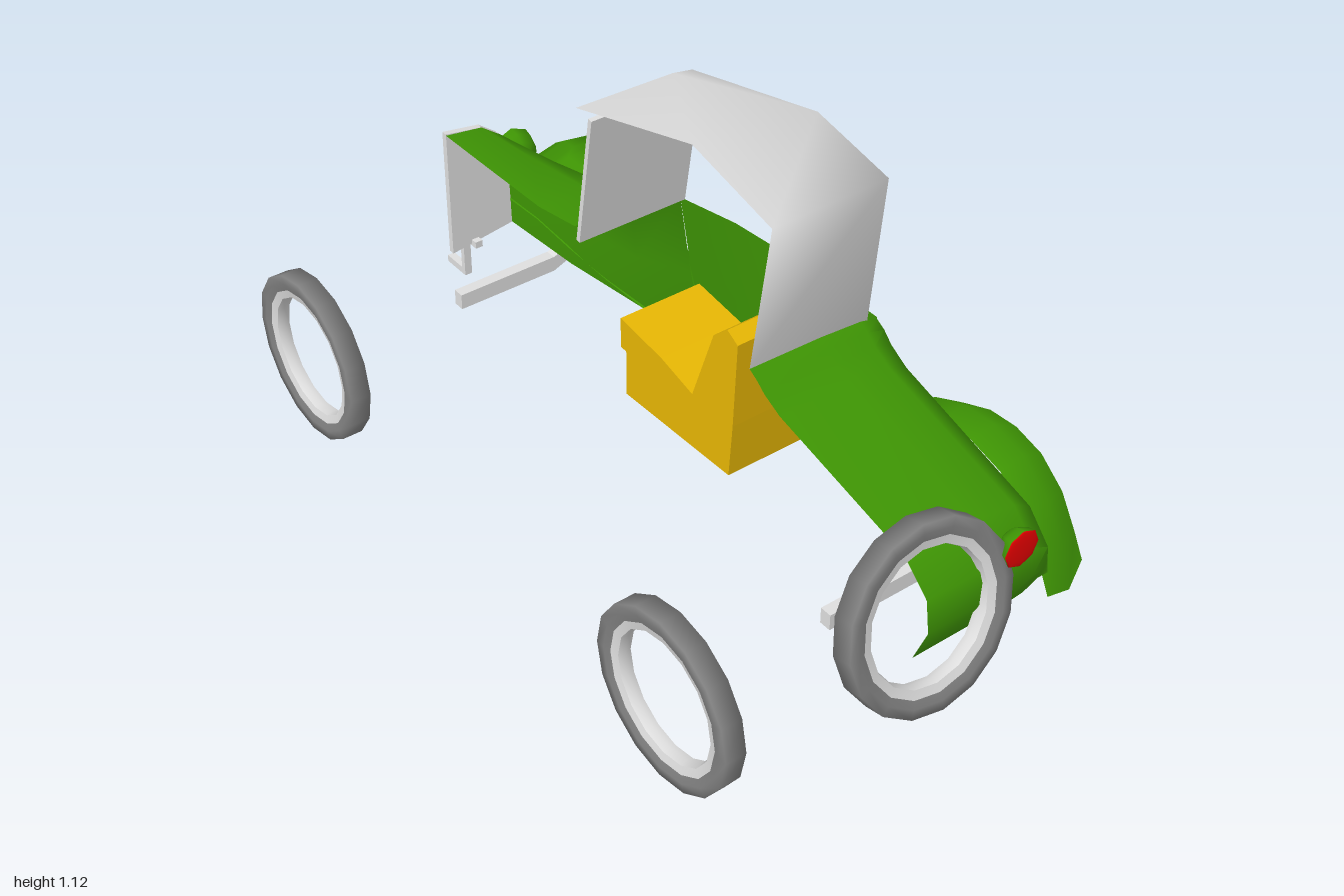
import * as THREE from 'three';
import { toCreasedNormals } from 'three/addons/utils/BufferGeometryUtils.js';

const mat = (name, color, side = THREE.FrontSide) => {
  const m = new THREE.MeshStandardMaterial({ color, side });
  m.name = name;
  return m;
};

// Skin through rows of equally many [x, y, z] points
function loft(rows, crease = 1.3) {
  const n = rows[0].length, index = [];
  for (let i = 0; i < rows.length - 1; i++) {
    for (let j = 0; j < n - 1; j++) {
      const a = i * n + j, b = a + 1, c = a + n, d = c + 1;
      index.push(a, c, b, b, c, d);
    }
  }
  const g = new THREE.BufferGeometry();
  g.setAttribute('position', new THREE.Float32BufferAttribute(rows.flat(2), 3));
  g.setIndex(index);
  return toCreasedNormals(g, crease);
}

const polygon = pts => new THREE.Shape(pts.map(p => new THREE.Vector2(...p)));

export function createModel() {
  const green = mat('green paint', 0x3f9604, THREE.DoubleSide);
  const grey = mat('light grey', 0xdedede, THREE.DoubleSide);
  const tyreGrey = mat('tyre grey', 0x808080);
  const yellow = mat('yellow upholstery', 0xe6b604);
  const red = mat('red lens', 0xf00000);
  const car = new THREE.Group();
  const add = (name, geo, material, parent = car) => {
    const m = new THREE.Mesh(geo, material);
    m.name = name;
    parent.add(m);
    return m;
  };
  const box = (name, w, h, d, x, y, z, material) => {
    const m = add(name, new THREE.BoxGeometry(w, h, d), material);
    m.position.set(x, y, z);
    return m;
  };
  const Z0 = 0.03; // centre plane, where the half body is open

  // Body section: [x, top y, shoulder drop, side z, bottom z, bottom y]
  const shell = ([x, y, d, zs, zb, yb]) => [
    [x, y, Z0], [x, y - d * 0.12, zs * 0.5], [x, y - d * 0.45, zs * 0.85], [x, y - d, zs],
    [x, (y - d + yb) / 2, zs * 0.6 + zb * 0.4], [x, yb, zb]];
  add('bonnet', loft([
    [-0.8, 0.675, 0.11, -0.138, -0.145, 0.36],
    [-0.6, 0.677, 0.1, -0.175, -0.19, 0.32],
    [-0.4, 0.68, 0.08, -0.222, -0.275, 0.255],
    [-0.26, 0.703, 0.04, -0.265, -0.345, 0.22],
  ].map(shell)), green);

  // Cockpit side
  add('cockpitSide', loft([
    [-0.26, -0.265, -0.297, -0.345], [-0.1, -0.3, -0.32, -0.348],
    [0.12, -0.318, -0.328, -0.348], [0.36, -0.318, -0.328, -0.345],
  ].map(([x, a, b, c]) => [[x, 0.664, a], [x, 0.46, b], [x, 0.22, c]])), green);

  // Rear deck, curving down into the tail panel
  add('rearDeck', loft([
    ...[
      [0.36, 0.685, 0.025, -0.318, -0.345, 0.22],
      [0.385, 0.67, 0.025, -0.318, -0.343, 0.22],
      [0.41, 0.65, 0.03, -0.318, -0.335, 0.345],
      [0.46, 0.625, 0.035, -0.318, -0.33, 0.345],
      [0.85, 0.525, 0.05, -0.315, -0.325, 0.345],
      [0.92, 0.46, 0.04, -0.305, -0.315, 0.345],
    ].map(shell),
    [[0.932, 0.38, Z0], [0.932, 0.38, -0.15], [0.93, 0.375, -0.26],
      [0.925, 0.37, -0.295], [0.92, 0.355, -0.308], [0.92, 0.345, -0.312]],
    [[0.895, 0.285, Z0], [0.895, 0.285, -0.13], [0.895, 0.285, -0.2],
      [0.9, 0.3, -0.27], [0.905, 0.325, -0.3], [0.91, 0.345, -0.312]],
  ]), green);

  // Front wing running into the running board: [x, crown y, inner z, inner y]
  add('frontWing', loft([
    [-1.0, 0.36, -0.36, 0.36], [-0.965, 0.41, -0.32, 0.39],
    [-0.9, 0.455, -0.28, 0.42], [-0.83, 0.48, -0.23, 0.43],
    [-0.79, 0.488, -0.14, 0.43], [-0.7, 0.47, -0.16, 0.41],
    [-0.6, 0.42, -0.183, 0.37], [-0.5, 0.35, -0.226, 0.31],
    [-0.4, 0.28, -0.268, 0.262], [-0.33, 0.242, -0.3, 0.238],
    [-0.26, 0.22, -0.338, 0.225], [0.385, 0.216, -0.338, 0.222],
  ].map(([x, y, zi, yi], i) => {
    const zo = i === 0 ? -0.415 : -0.465;
    const lip = i === 0 ? 0.01 : i > 8 ? 0.015 : 0.045;
    return [[x, yi, zi], [x, y, zi * 0.45 + zo * 0.55],
      [x, y - lip * 0.25, zo + 0.01], [x, y - lip, zo]];
  })), green);

  // Rear wing, its outer edge dropping towards the wheel arch
  add('rearWing', loft([
    [0.38, 0.21], [0.385, 0.3], [0.41, 0.41], [0.48, 0.49], [0.57, 0.525],
    [0.66, 0.53], [0.75, 0.505], [0.83, 0.44], [0.885, 0.35], [0.92, 0.255],
  ].map(([x, y], i, path) => {
    const k = i === 0 ? 0 : 0.13, tail = i === path.length - 1 ? 0.025 : 0;
    return [[x, y - 0.01 + tail, -0.325], [x, y, -0.39],
      [x + (0.64 - x) * k, y + (0.2 - y) * k + tail, -0.462]];
  })), green);

  // Radiator and starting crank
  const radiator = new THREE.ExtrudeGeometry(polygon([
    [-0.03, 0.335], [0.145, 0.36], [0.14, 0.565], [0.118, 0.626], [0.07, 0.662], [-0.03, 0.678],
  ]), { depth: 0.016, bevelEnabled: false }).rotateY(Math.PI / 2).translate(-0.808, 0, 0);
  add('radiator', radiator, grey);
  box('crankShaft', 0.07, 0.018, 0.02, -0.81, 0.345, -0.035, grey);
  box('crankArm', 0.014, 0.12, 0.02, -0.84, 0.29, -0.035, grey);
  box('crankHandle', 0.08, 0.018, 0.02, -0.873, 0.232, -0.035, grey);

  // Folding top: front edge, ridge, rear edge, rear foot
  add('foldingTop', loft([
    [[-0.245, 1.015, Z0], [-0.245, 1.01, -0.23], [-0.24, 1.004, -0.28]],
    [[0.16, 1.125, Z0], [0.17, 1.09, -0.29], [0.18, 1.005, -0.353]],
    [[0.415, 1.06, Z0], [0.405, 1.052, -0.28], [0.31, 0.94, -0.335]],
    [[0.36, 0.685, Z0], [0.36, 0.665, -0.29], [0.125, 0.648, -0.312]],
  ], 1.6), grey);

  // Windscreen, leaning back
  const screen = box('windscreen', 0.012, 0.345, 0.295, -0.222, 0.838, -0.118, grey);
  screen.rotation.z = -0.16;

  // Seat
  add('seat', new THREE.ExtrudeGeometry(polygon([
    [-0.07, 0.35], [0.30, 0.36], [0.31, 0.5], [0.32, 0.72], [0.285, 0.74], [0.24, 0.70],
    [0.17, 0.50], [0.06, 0.53], [-0.09, 0.55], [-0.09, 0.47], [-0.07, 0.47],
  ]), { depth: 0.22, bevelEnabled: false }).translate(0, 0, -0.19), yellow);

  // Axles, cranked up at the outer end
  const axle = new THREE.ExtrudeGeometry(polygon([
    [-0.03, 0.17], [0.25, 0.17], [0.3, 0.19], [0.35, 0.19],
    [0.35, 0.228], [0.3, 0.228], [0.25, 0.212], [-0.03, 0.212],
  ]), { depth: 0.03, bevelEnabled: false }).rotateY(Math.PI / 2);
  add('frontAxle', axle, grey).position.set(-0.797, 0.01, 0);
  add('rearAxle', axle, grey).position.set(0.618, 0, 0);

  // Wheels: flat-treaded tyre and hollow rim, axis along z
  const ring = (pts, crease) => toCreasedNormals(new THREE.LatheGeometry(
    pts.map(p => new THREE.Vector2(...p)), 16).rotateX(Math.PI / 2), crease);
  const tyre = ring([[0.172, -0.02], [0.192, -0.026], [0.214, -0.026],
    [0.214, 0.026], [0.192, 0.026], [0.172, 0.02]], 1.7);
  const rim = ring([[0.174, -0.021], [0.154, -0.016], [0.15, 0], [0.154, 0.016], [0.174, 0.021]], 0.9);
  const wheel = (name, x, y, z) => {
    const g = new THREE.Group();
    g.name = name;
    add('tyre', tyre, tyreGrey, g);
    add('rim', rim, grey, g);
    g.position.set(x, y, z);
    car.add(g);
    return g;
  };
  wheel('frontWheel', -0.782, 0.215, 0.439);
  wheel('rearWheel', 0.632, 0.215, 0.439);
  const spare = wheel('spareWheel', 0.921, 0.427, 0.033);
  spare.rotation.set(0, Math.PI / 2, 0.24, 'ZYX');

  // Lamps: green bowl with a shallow lens
  const dome = (r, depth) => new THREE.SphereGeometry(r, 8, 4, 0, Math.PI * 2, 0, Math.PI / 2)
    .scale(1, depth / r, 1).rotateZ(-Math.PI / 2);
  const lamp = (name, x, y, z, r, depth, lens, turn) => {
    const g = new THREE.Group();
    g.name = name;
    add('bowl', dome(r, depth), green, g);
    add('lens', dome(r, 0.005).rotateY(Math.PI), lens, g);
    g.position.set(x, y, z);
    g.rotation.y = turn;
    car.add(g);
  };
  lamp('headlamp', -0.872, 0.51, -0.205, 0.06, 0.065, grey, 0);
  lamp('tailLamp', 0.943, 0.488, -0.2, 0.046, 0.045, red, Math.PI);
  return car;
}
